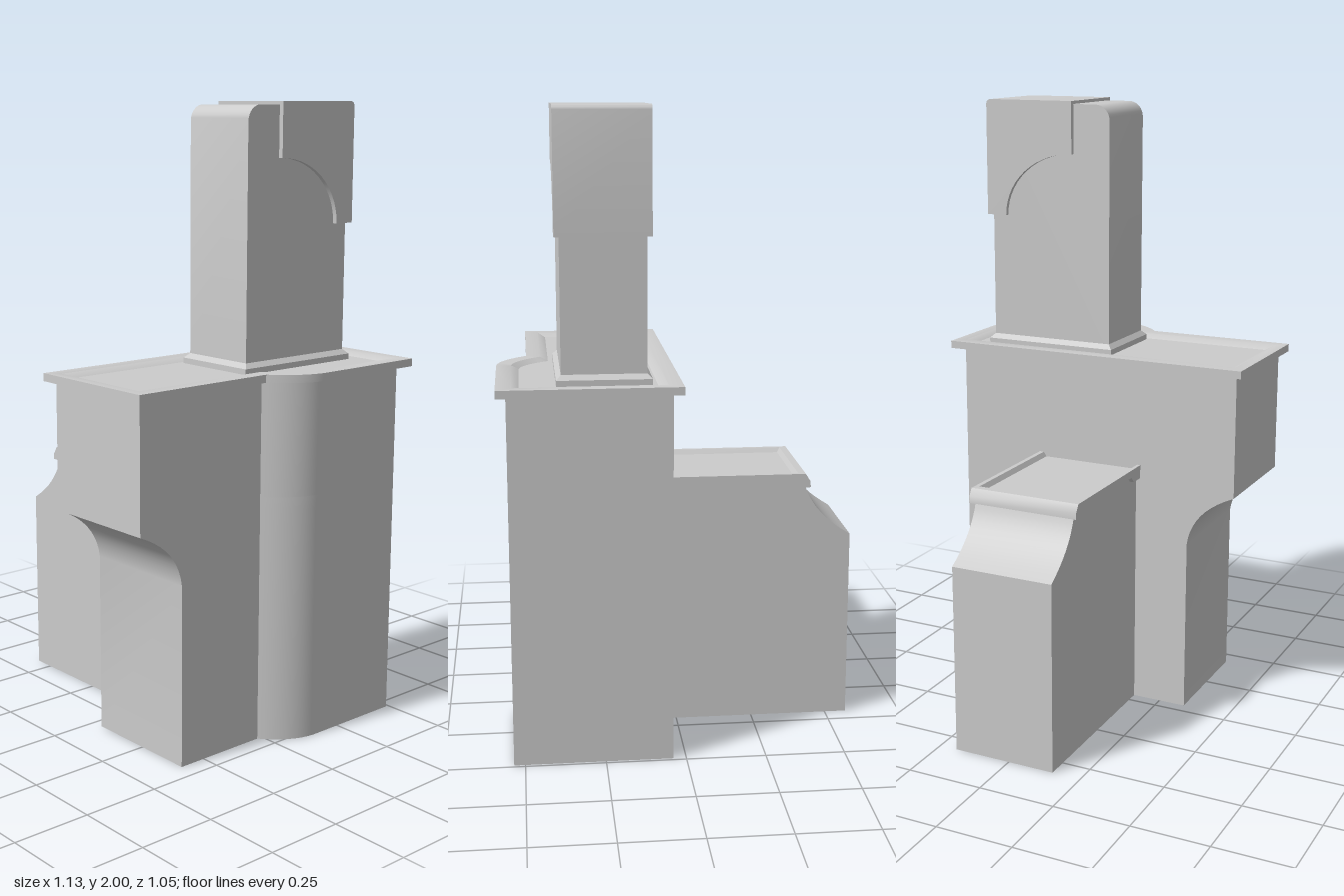
import * as THREE from 'three';
import { toCreasedNormals } from 'three/addons/utils/BufferGeometryUtils.js';

const material = new THREE.MeshStandardMaterial({ color: 0xcccccc, side: THREE.DoubleSide });

function part(parent, name, geometry) {
  const mesh = new THREE.Mesh(toCreasedNormals(geometry, 0.5), material);
  mesh.name = name;
  parent.add(mesh);
}

// Skin a list of cross-sections (each a list of [x, y, z])
function loft(rows, closed = false) {
  const n = rows[0].length, index = [];
  for (let i = 0; i < rows.length - 1; i++) {
    for (let j = 0; j < (closed ? n : n - 1); j++) {
      const k = (j + 1) % n;
      const a = i * n + j, b = i * n + k, c = b + n, d = a + n;
      index.push(a, b, c, a, c, d);
    }
  }
  const g = new THREE.BufferGeometry();
  g.setAttribute('position', new THREE.Float32BufferAttribute(rows.flat(2), 3));
  g.setIndex(index);
  return g;
}

// Points of a quadratic curve, ends included
function curve(a, control, b, steps = 10) {
  const v = (p) => new THREE.Vector2(...p);
  return new THREE.QuadraticBezierCurve(v(a), v(control), v(b)).getPoints(steps).map((p) => [p.x, p.y]);
}

// Elliptic quarter arc about a centre
function arc(cx, cy, rx, ry, from, to, steps = 10) {
  return Array.from({ length: steps + 1 }, (_, i) => {
    const t = from + ((to - from) * i) / steps;
    return [cx + rx * Math.cos(t), cy + ry * Math.sin(t)];
  });
}

// Extrude a [z, y] profile from x0 to x1
function extrudeX(profile, x0, x1) {
  const shape = new THREE.Shape(profile.map(([z, y]) => new THREE.Vector2(-z, y)));
  const g = new THREE.ExtrudeGeometry(shape, { depth: x1 - x0, bevelEnabled: false });
  return g.rotateY(Math.PI / 2).translate(x0, 0, 0);
}

// Horizontal face inside an [x, z] outline
function floorFace(outline, y) {
  const shape = new THREE.Shape(outline.map(([x, z]) => new THREE.Vector2(x, -z)));
  return new THREE.ShapeGeometry(shape).rotateX(-Math.PI / 2).translate(0, y, 0);
}

// Plan of the main block: narrow at the front, swelling to the left at the back
function plan(x0, xFront, xBack, zBack, zFront, c0, c1) {
  return [[x0, zFront], [xFront, zFront],
    ...curve([xFront, c0], [xBack, c0 + 0.45 * (c1 - c0)], [xBack, c1]),
    [xBack, zBack], [x0, zBack]];
}
const raise = (outline, y) => outline.map(([x, z]) => [x, y, z]);
const rect = (x0, x1, z0, z1) => [[x0, z1], [x1, z1], [x1, z0], [x0, z0]];

export function createModel() {
  const model = new THREE.Group();
  model.name = 'hearth';

  const wall = { x: 0.04, back: -0.19, front: 0.155 };
  const bodyPlan = (zFront) => plan(wall.x, 0.44, 0.535, -0.49, zFront, 0.02, -0.15);

  // Main body: lower walls leave an opening into the side wing
  const body = new THREE.Group();
  body.name = 'mainBody';
  model.add(body);
  const frontProfile = [[0.34, 0], ...curve([0.34, 0.58], [0.355, 0.7], [0.5, 0.76]), [0.5, 0.8]];
  part(body, 'lowerWalls', loft(frontProfile.map(([z, y]) =>
    raise([[wall.x, wall.front], ...bodyPlan(z), [wall.x, wall.back]], y))));
  part(body, 'upperWalls', loft([raise(bodyPlan(0.5), 0.8), raise(bodyPlan(0.5), 1.165)], true));

  // Top slab with a shallow sunken tray
  const slab = new THREE.Group();
  slab.name = 'topSlab';
  model.add(slab);
  const edge = plan(0.01, 0.47, 0.565, -0.53, 0.525, 0.03, -0.14);
  const rim = plan(0.055, 0.425, 0.52, -0.495, 0.49, 0.01, -0.15);
  const tray = plan(0.08, 0.4, 0.495, -0.47, 0.465, 0, -0.14);
  part(slab, 'slabRim', loft([raise(bodyPlan(0.5), 1.165), raise(edge, 1.165), raise(edge, 1.19),
    raise(rim, 1.19), raise(tray, 1.177)], true));
  part(slab, 'slabTray', floorFace(tray, 1.177));

  // Chimney with a bevelled foot and a rounded front shoulder
  const chimney = new THREE.Group();
  chimney.name = 'chimney';
  model.add(chimney);
  const foot = rect(0.095, 0.385, -0.425, 0.035);
  part(chimney, 'chimneyFoot', loft([raise(foot, 1.177), raise(foot, 1.195),
    raise(rect(0.11, 0.37, -0.41, 0.02), 1.21)], true));
  part(chimney, 'chimneyShaft', extrudeX([[-0.41, 1.177], [0.02, 1.177],
    ...arc(-0.03, 1.94, 0.05, 0.05, 0, Math.PI / 2, 8), [-0.41, 1.99]], 0.11, 0.37));
  part(chimney, 'chimneyHood', extrudeX([[-0.11, 2],
    ...arc(-0.11, 1.62, -0.245, 0.21, Math.PI / 2, 0, 14), [-0.425, 1.62],
    ...arc(-0.41, 1.985, 0.015, 0.015, Math.PI, Math.PI / 2, 4)], 0.095, 0.385));

  // Side wing: hollow, with a scooped outer shoulder
  const wing = new THREE.Group();
  wing.name = 'sideWing';
  model.add(wing);
  const scoop = [[-0.57, 0], ...curve([-0.57, 0.62], [-0.45, 0.69], [-0.42, 0.785])];
  part(wing, 'wingEnd', loft(scoop.map(([x, y]) => [[x, y, wall.back], [x, y, wall.front]])));
  const side = new THREE.Shape([...scoop, [-0.42, 0.81], [wall.x, 0.81], [wall.x, 0]]
    .map((p) => new THREE.Vector2(...p)));
  part(wing, 'wingFrontWall', new THREE.ShapeGeometry(side).translate(0, 0, wall.front));
  part(wing, 'wingBackWall', new THREE.ShapeGeometry(side).translate(0, 0, wall.back));

  // Wing cap: U-shaped rim with a small raised notch along its lower edge
  const notch = [[wall.x, 0], [-0.01, 0], [-0.03, 1], [-0.09, 1], [-0.115, 0]];
  const capRow = (xEnd, y, z0, z1, lift = 0) => {
    const run = (z) => [...notch.map(([x, k]) => [x, y + k * lift, z]), [xEnd, y, z]];
    return [...run(z0), ...run(z1).reverse()];
  };
  part(wing, 'wingCap', loft([
    capRow(-0.42, 0.785, wall.back, wall.front, 0.02),
    capRow(-0.435, 0.785, -0.205, 0.17, 0.02),
    capRow(-0.433, 0.806, -0.205, 0.17),
    capRow(-0.418, 0.83, -0.205, 0.17),
    capRow(-0.395, 0.83, -0.19, 0.158),
    capRow(-0.385, 0.815, -0.18, 0.148),
  ]));
  part(wing, 'wingTray', floorFace(rect(-0.385, wall.x, -0.18, 0.148), 0.815));

  return model;
}
